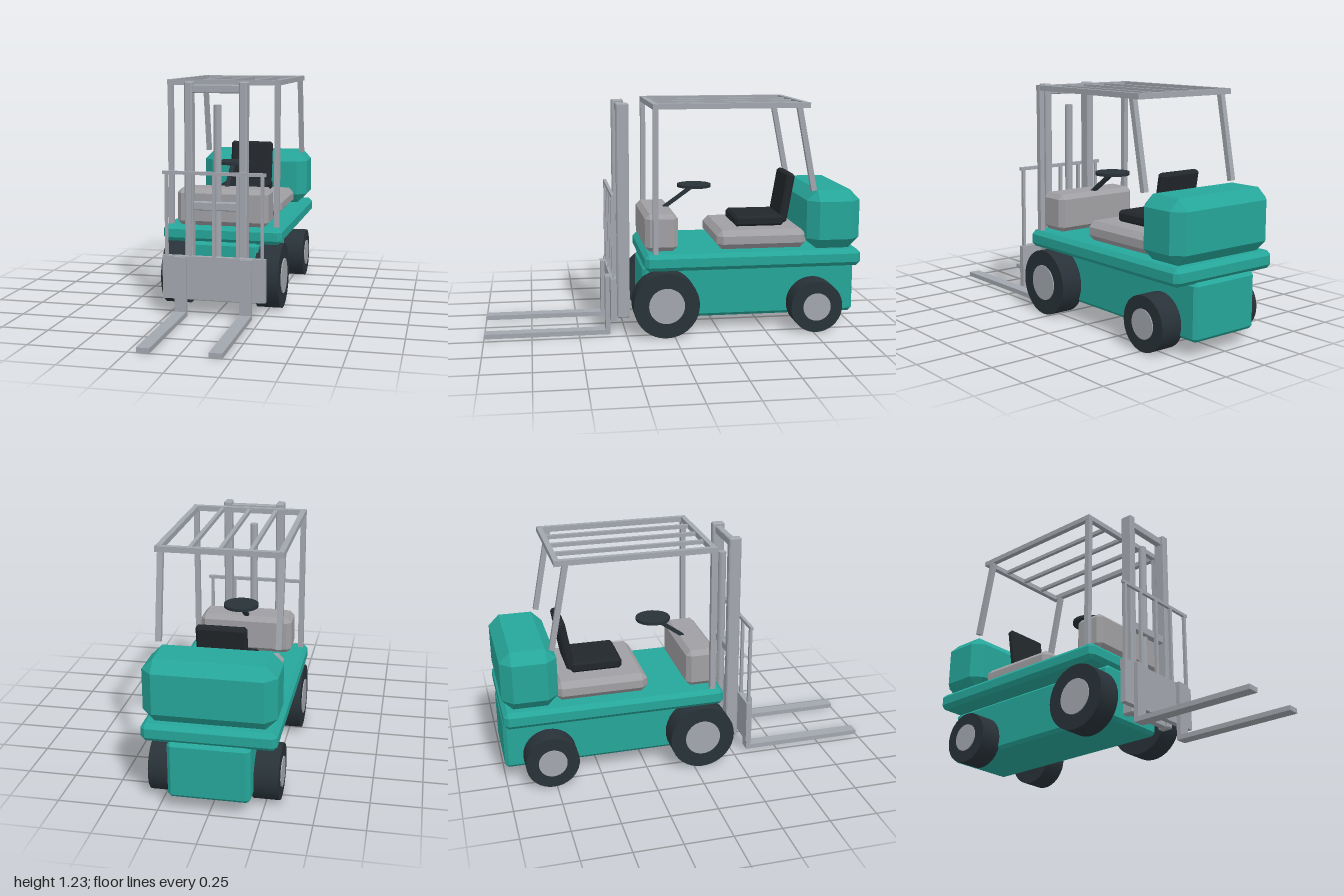
import * as THREE from 'three';
import { ConvexGeometry } from 'three/addons/geometries/ConvexGeometry.js';

const mat = (name, color) => {
  const m = new THREE.MeshStandardMaterial({ color });
  m.name = name;
  return m;
};

// Box between min and max corners with flat chamfers on all edges
function chamferBox([x0, y0, z0], [x1, y1, z1], c) {
  const h = [(x1 - x0) / 2, (y1 - y0) / 2, (z1 - z0) / 2];
  const pts = [];
  for (const sx of [-1, 1]) for (const sy of [-1, 1]) for (const sz of [-1, 1])
    for (let k = 0; k < 3; k++) {
      const d = h.map((v, i) => (i === k ? v : v - c));
      pts.push(new THREE.Vector3(sx * d[0], sy * d[1], sz * d[2]));
    }
  return new ConvexGeometry(pts).translate((x0 + x1) / 2, (y0 + y1) / 2, (z0 + z1) / 2);
}

export function createModel() {
  const model = new THREE.Group();
  model.name = 'forklift';
  const teal = mat('teal paint', 0x26a69a);
  const steel = mat('steel grey', 0xa2a7ae);
  const cover = mat('cover grey', 0xa0a0a4);
  const rubber = mat('tyre rubber', 0x283238);
  const black = mat('seat black', 0x22272b);

  const add = (name, geometry, material) => {
    const mesh = new THREE.Mesh(geometry, material);
    mesh.name = name;
    model.add(mesh);
    return mesh;
  };
  // Plain or chamfered box given by its min and max corners
  const box = (name, a, b, material, c = 0) => add(name, c ? chamferBox(a, b, c)
    : new THREE.BoxGeometry(b[0] - a[0], b[1] - a[1], b[2] - a[2])
      .translate((a[0] + b[0]) / 2, (a[1] + b[1]) / 2, (a[2] + b[2]) / 2), material);
  // Square bar between two points in a plane of constant x
  const bar = (name, x, [yA, zA], [yB, zB], w, t, material) => {
    const m = add(name, new THREE.BoxGeometry(w, Math.hypot(yB - yA, zB - zA), t), material);
    m.position.set(x, (yA + yB) / 2, (zA + zB) / 2);
    m.rotation.x = Math.atan2(zB - zA, yB - yA);
    return m;
  };

  // Body
  box('chassis', [-0.2, 0.075, -1], [0.2, 0.365, 0.16], teal, 0.018);
  box('deck', [-0.325, 0.36, -1], [0.325, 0.45, 0.16], teal, 0.022);
  box('counterweight', [-0.32, 0.45, -1], [0.32, 0.765, -0.712], teal, 0.056);
  box('frontCowl', [-0.25, 0.45, -0.025], [0.25, 0.65, 0.15], cover, 0.025);
  box('engineCover', [-0.25, 0.45, -0.72], [0.25, 0.552, -0.235], cover, 0.03);

  // Seat
  box('seatCushion', [-0.135, 0.55, -0.62], [0.135, 0.61, -0.35], black, 0.014);
  const back = add('seatBack', chamferBox([-0.125, -0.135, -0.022], [0.125, 0.135, 0.022], 0.012), black);
  back.position.set(0, 0.7, -0.64);
  back.rotation.x = -0.17;

  // Steering
  bar('steeringColumn', 0, [0.645, 0.02], [0.76, -0.14], 0.025, 0.018, rubber);
  add('steeringWheel', new THREE.CylinderGeometry(0.092, 0.092, 0.016, 32), rubber)
    .position.set(0, 0.764, -0.147);

  // Wheels
  for (const [name, z, r, hub] of [['front', 0.045, 0.175, 0.095], ['rear', -0.765, 0.14, 0.075]])
    for (const s of [-1, 1]) {
      const tyre = add(name + 'Tyre', new THREE.CylinderGeometry(r, r, 0.13, 36), rubber);
      tyre.position.set(s * 0.255, r, z);
      const cap = add(name + 'Hub', new THREE.CylinderGeometry(hub, hub, 0.13, 28), steel);
      cap.position.set(s * 0.26, r, z);
      tyre.rotation.z = cap.rotation.z = Math.PI / 2;
    }

  // Overhead guard
  for (const s of [-1, 1]) {
    const x = s * 0.291;
    box('guardFrontPost', [x - 0.014, 0.45, 0.087], [x + 0.014, 1.21, 0.115], steel);
    bar('guardRearPost', x, [0.768, -0.738], [1.21, -0.65], 0.028, 0.028, steel);
    box('guardSideRail', [x - 0.014, 1.203, -0.7], [x + 0.014, 1.231, 0.115], steel);
  }
  for (const z of [0.102, -0.693])
    box('guardCrossRail', [-0.307, 1.202, z - 0.014], [0.307, 1.23, z + 0.014], steel);
  for (const x of [-0.145, 0, 0.145])
    box('guardRoofBar', [x - 0.01, 1.206, -0.69], [x + 0.01, 1.226, 0.1], steel);

  // Mast
  for (const s of [-1, 1])
    box('mastUpright', [s * 0.145 - 0.021, 0.075, 0.225], [s * 0.145 + 0.021, 1.226, 0.292], steel, 0.006);
  for (const [y0, y1] of [[1.167, 1.21], [0.555, 0.6], [0.08, 0.125]])
    box('mastCrossbar', [-0.127, y0, 0.24], [0.127, y1, 0.275], steel, 0.004);
  add('liftCylinder', new THREE.CylinderGeometry(0.021, 0.021, 1.005, 20), steel)
    .position.set(0, 0.603, 0.24);

  // Carriage and load backrest
  box('carriagePlate', [-0.275, 0.09, 0.305], [0.275, 0.32, 0.336], steel);
  box('backrestTopBar', [-0.275, 0.748, 0.314], [0.275, 0.766, 0.33], steel);
  for (let i = -2; i <= 2; i++) {
    const x = i * 0.1275;
    box('backrestBar', [x - 0.008, 0.31, 0.314], [x + 0.008, 0.755, 0.33], steel);
  }

  // Forks
  for (const s of [-1, 1]) {
    const x = s * 0.174;
    box('forkShank', [x - 0.032, 0.003, 0.334], [x + 0.032, 0.318, 0.359], steel);
    box('forkBlade', [x - 0.032, 0, 0.334], [x + 0.032, 0.025, 1], steel);
  }
  return model;
}
